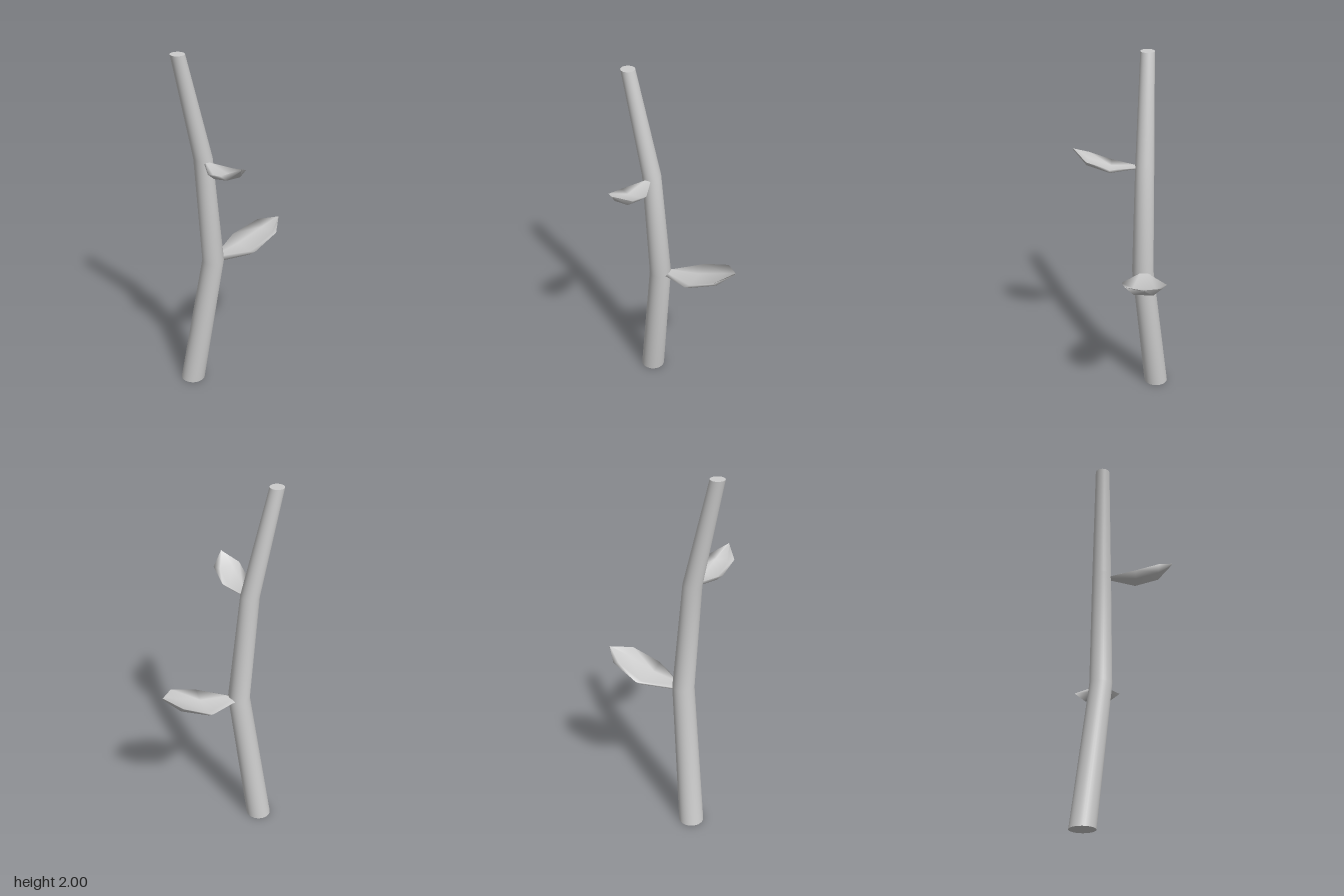
import * as THREE from 'three';

const material = new THREE.MeshStandardMaterial({ color: 0xcccccc, side: THREE.DoubleSide });

// Smooth skin through rings of equal point count, each ordered anticlockwise about the path
function loft(rings) {
  const n = rings[0].length, index = [];
  for (let i = 0; i < rings.length - 1; i++) {
    for (let j = 0; j < n; j++) {
      const a = i * n + j, b = i * n + (j + 1) % n;
      index.push(a, b, b + n, a, b + n, a + n);
    }
  }
  const geometry = new THREE.BufferGeometry();
  geometry.setAttribute('position', new THREE.Float32BufferAttribute(rings.flat(2), 3));
  geometry.setIndex(index);
  geometry.computeVertexNormals();
  return geometry;
}

function addMesh(parent, name, geometry) {
  const mesh = new THREE.Mesh(geometry, material);
  mesh.name = name;
  parent.add(mesh);
  return mesh;
}

// Bent, tapering stalk: x, y, z, radius of each ring
function createStalk() {
  const group = new THREE.Group();
  group.name = 'stalk';
  const sides = 32;
  const stations = [
    [-0.218, 0, -0.197, 0.068],
    [-0.116, 0.8, -0.117, 0.06],
    [-0.167, 1.42, -0.118, 0.051],
    [-0.298, 2, -0.118, 0.038],
  ];
  const rings = stations.map(([x, y, z, r]) => Array.from({ length: sides }, (_, j) => {
    const t = j / sides * Math.PI * 2;
    return [x + r * Math.cos(t), y, z - r * Math.sin(t)];
  }));
  addMesh(group, 'stalkSkin', loft(rings));
  [[stations[0], 1], [stations[3], -1]].forEach(([[x, y, z, r], s]) => {
    const cap = addMesh(group, s > 0 ? 'bottomCap' : 'topCap', new THREE.CircleGeometry(r, sides));
    cap.rotation.x = s * Math.PI / 2;
    cap.position.set(x, y, z);
  });
  return group;
}

// Cupped leaf growing along +z: z, middle x, bottom y, half width, rim height, thickness
function createLeaf(name, stations) {
  const rings = stations.map(([z, x, y, w, rim, t]) => [
    [x - w, y + rim, z], [x - w * 0.53, y, z], [x + w * 0.53, y, z],
    [x + w, y + rim, z], [x + w * 0.5, y + t, z], [x - w * 0.5, y + t, z],
  ]);
  const mesh = new THREE.Mesh(loft(rings), material);
  mesh.name = name;
  return mesh;
}

export function createModel() {
  const model = new THREE.Group();
  model.name = 'twig';
  model.add(createStalk());

  // Large lower leaf, turned to point along +x
  const lower = createLeaf('lowerLeaf', [
    [-0.1, 0.125, 0.782, 0.03, 0.018, 0.03],
    [-0.06, 0.125, 0.782, 0.04, 0.02, 0.03],
    [0.095, 0.137, 0.79, 0.122, 0.045, 0.016],
    [0.25, 0.142, 0.855, 0.098, 0.043, 0.016],
    [0.333, 0.15, 0.922, 0.002, 0.008, 0.01],
  ]);
  lower.rotation.y = Math.PI / 2;
  model.add(lower);

  // Small upper leaf pointing to the front
  model.add(createLeaf('upperLeaf', [
    [-0.1, -0.166, 1.395, 0.015, 0.01, 0.016],
    [-0.068, -0.166, 1.395, 0.02, 0.01, 0.016],
    [0.065, -0.166, 1.38, 0.075, 0.032, 0.012],
    [0.19, -0.166, 1.42, 0.074, 0.032, 0.012],
    [0.265, -0.166, 1.492, 0.002, 0.006, 0.008],
  ]));
  return model;
}
